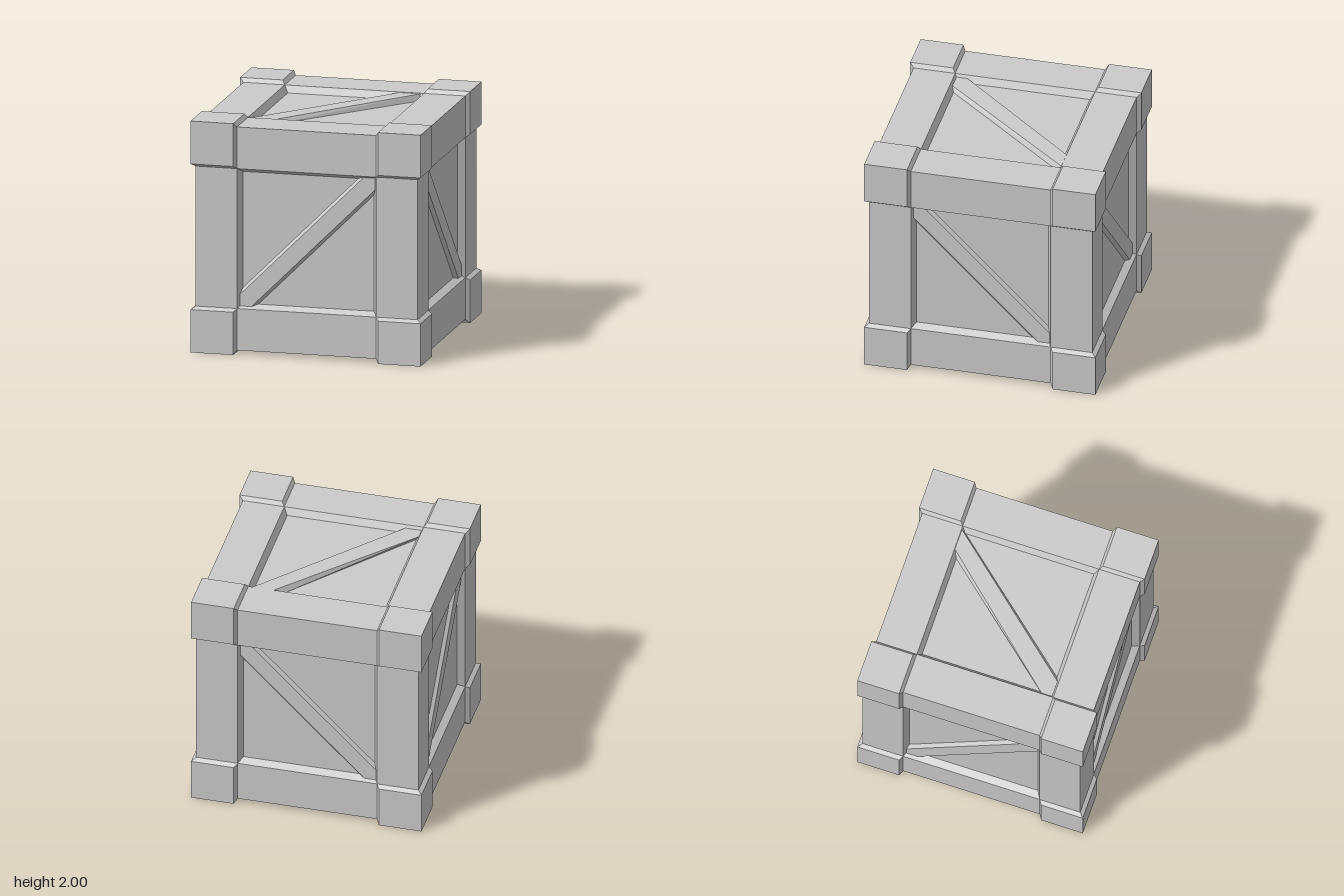
import * as THREE from 'three';
import { ConvexGeometry } from 'three/addons/geometries/ConvexGeometry.js';

const OUT = 1;        // outer face of the corner blocks
const BEAM = 0.965;   // outer face of the beams
const PANEL = 0.905;  // recessed panel face
const IN = 0.605;     // inner edge of the beams
const V = (x, y, z) => new THREE.Vector3(x, y, z);

export function createModel() {
  const group = new THREE.Group();
  const body = new THREE.Group(); // built around the origin, then lifted onto y = 0
  body.name = 'crate';
  body.position.y = 1;
  group.add(body);
  const mat = new THREE.MeshStandardMaterial({ color: 0xcccccc, flatShading: true });
  const add = (name, geo) => {
    const mesh = new THREE.Mesh(geo, mat);
    mesh.name = name;
    body.add(mesh);
    return mesh;
  };

  // Inner box, whose six sides are the recessed panels
  add('panels', new THREE.BoxGeometry(2 * PANEL, 2 * PANEL, 2 * PANEL));

  // Twelve edge beams with bevelled inner sides: cross-section swept along each axis
  const profile = [[BEAM, BEAM], [IN, BEAM], [0.57, PANEL], [0.57, 0.57], [PANEL, 0.57], [BEAM, IN]];
  const place = [
    (a, b, l) => V(l, a, b),
    (a, b, l) => V(a, l, b),
    (a, b, l) => V(a, b, l),
  ];
  for (const at of place)
    for (const sa of [-1, 1])
      for (const sb of [-1, 1]) {
        const pts = [-0.64, 0.64].flatMap(l => profile.map(([a, b]) => at(sa * a, sb * b, l)));
        add('beam', new ConvexGeometry(pts));
      }

  // Eight corner blocks, chamfered down to the beams
  const c = 0.63;
  const block = [[OUT, OUT, OUT], [IN, IN, IN]];
  for (const [p, q, r] of [[OUT, OUT, c], [c, c, OUT], [BEAM, BEAM, IN], [IN, IN, BEAM]])
    block.push([p, q, r], [p, r, q], [r, p, q]);
  for (const sx of [-1, 1])
    for (const sy of [-1, 1])
      for (const sz of [-1, 1])
        add('cornerBlock', new ConvexGeometry(block.map(([x, y, z]) => V(x * sx, y * sy, z * sz))));

  // Diagonal braces with sloped sides, as [u, v, height] on a face
  const e = 0.59, w = 0.49, h = 0.935;
  const sideBrace = [
    [-e, -e, h], [-e, -w, h], [w, e, h], [e, e, h], [e, w, h], [-w, -e, h],
    [-0.59, -0.59, PANEL], [-0.59, -0.455, PANEL], [0.455, 0.59, PANEL],
    [0.59, 0.59, PANEL], [0.59, 0.455, PANEL], [-0.455, -0.59, PANEL],
  ];
  const lidBrace = [
    [-0.595, -0.59, 0.94], [-0.595, -0.5, 0.94], [0.39, 0.602, 0.96], [0.575, 0.602, 0.96], [-0.45, -0.59, 0.94],
    [-0.595, -0.59, PANEL], [-0.595, -0.53, PANEL], [0.36, 0.602, PANEL], [0.6, 0.602, PANEL], [-0.42, -0.59, PANEL],
  ];
  const faces = [
    ['frontBrace', sideBrace, (u, v, n) => V(u, v, n)],
    ['backBrace', sideBrace, (u, v, n) => V(u, v, -n)],
    ['rightBrace', sideBrace, (u, v, n) => V(n, v, u)],
    ['leftBrace', sideBrace, (u, v, n) => V(-n, v, u)],
    ['topBrace', lidBrace, (u, v, n) => V(u, n, -v)],
    ['bottomBrace', lidBrace, (u, v, n) => V(u, -n, v)],
  ];
  for (const [name, pts, at] of faces)
    add(name, new ConvexGeometry(pts.map(p => at(...p))));

  return group;
}
